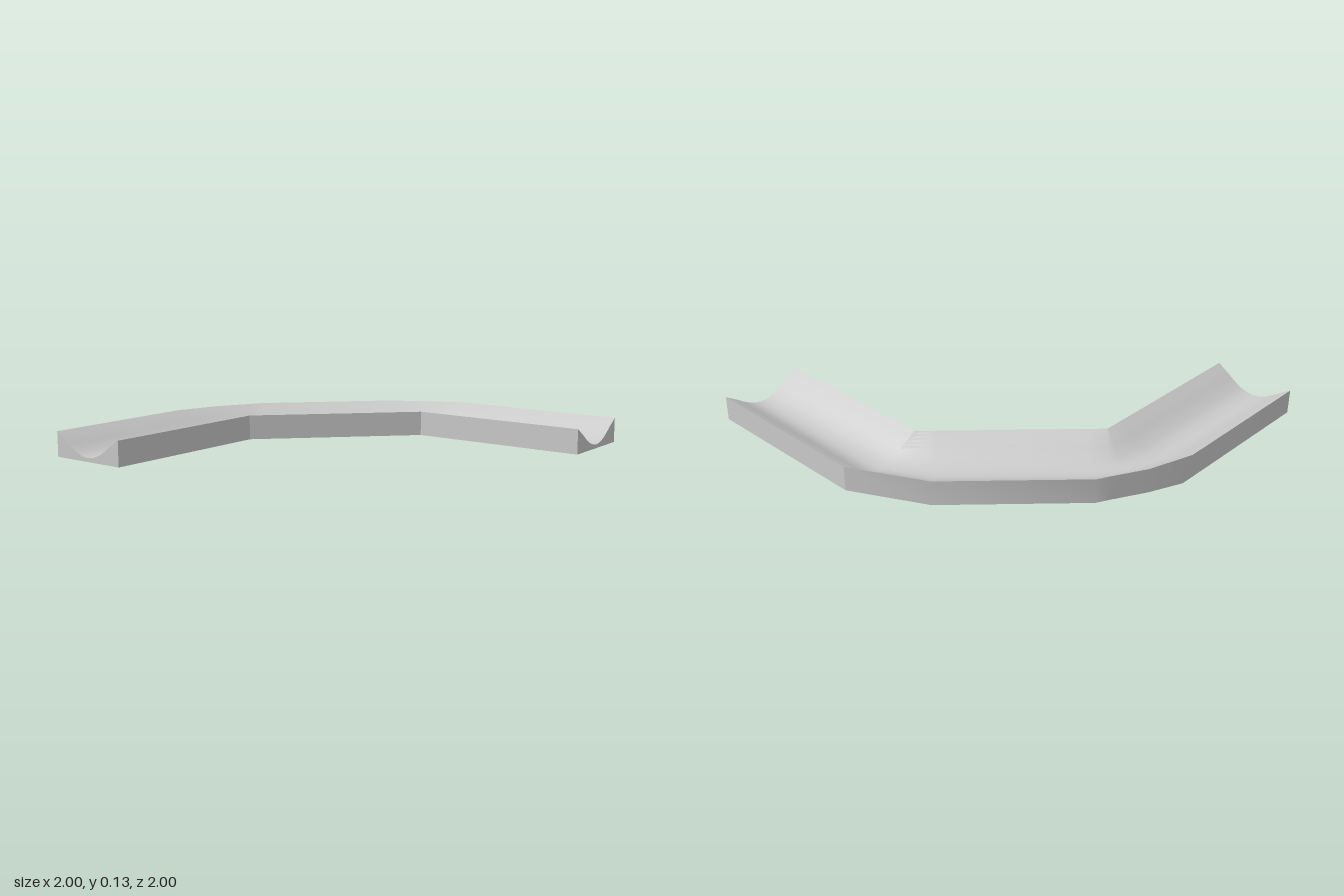
import * as THREE from 'three';
import { toCreasedNormals } from 'three/addons/utils/BufferGeometryUtils.js';

// Cross-sections along the bend: inner x, z, outer x, z, optional outer z at the foot
const SECTIONS = [
  [1, -0.57, 1, -1],
  [0.08, -0.57, 0.08, -1],
  [0.015, -0.505, -0.29, -0.81],
  [-0.505, 0.015, -0.81, -0.29],
  [-0.57, 0.08, -0.845, -0.22],
  [-0.57, 0.08, -0.93, -0.06],
  [-0.57, 0.17, -1, 0.17, 0.11],
  [-0.57, 1, -1, 1],
];
const STEPS = 24;

// Trough profile, from rim to rim
const profile = new THREE.SplineCurve([
  [0, 0.127], [0.125, 0.093], [0.25, 0.056], [0.375, 0.029], [0.5, 0.02],
  [0.625, 0.029], [0.75, 0.056], [0.875, 0.093], [1, 0.127],
].map(([t, y]) => new THREE.Vector2(t, y)));

function buildGutter() {
  const points = profile.getPoints(STEPS);
  const row = (s, top) => points.map(({ x: t, y }) => {
    const [ix, iz, ox, oz, footZ = oz] = s;
    return new THREE.Vector3(
      THREE.MathUtils.lerp(ox, ix, t), top ? y : 0,
      THREE.MathUtils.lerp(top ? oz : footZ, iz, t));
  });
  const T = SECTIONS.map((s) => row(s, true));
  const B = SECTIONS.map((s) => row(s, false));

  const positions = [];
  const tri = new THREE.Triangle();
  const face = (a, b, c) => {
    if (tri.set(a, b, c).getArea() < 1e-8) return;
    for (const p of [a, b, c]) positions.push(p.x, p.y, p.z);
  };
  const quad = (a, b, c, d) => { face(a, b, c); face(a, c, d); };

  const last = SECTIONS.length - 1;
  for (let s = 0; s < last; s++) {
    const n = s + 1;
    // Trough surface and underside
    for (let j = 0; j < STEPS; j++) {
      quad(T[s][j], T[n][j], T[n][j + 1], T[s][j + 1]);
      quad(B[s][j], B[s][j + 1], B[n][j + 1], B[n][j]);
    }
    // Outer and inner walls
    quad(T[s][0], B[s][0], B[n][0], T[n][0]);
    quad(T[s][STEPS], T[n][STEPS], B[n][STEPS], B[s][STEPS]);
  }
  // End caps
  for (let j = 0; j < STEPS; j++) {
    quad(T[0][j], T[0][j + 1], B[0][j + 1], B[0][j]);
    quad(T[last][j], B[last][j], B[last][j + 1], T[last][j + 1]);
  }

  const geometry = new THREE.BufferGeometry();
  geometry.setAttribute('position', new THREE.Float32BufferAttribute(positions, 3));
  return toCreasedNormals(geometry, 0.4);
}

export function createModel() {
  const group = new THREE.Group();
  group.name = 'curvedChannel';
  const gutter = new THREE.Mesh(buildGutter(), new THREE.MeshStandardMaterial({ color: 0xcccccc }));
  gutter.name = 'channelBend';
  group.add(gutter);
  return group;
}
